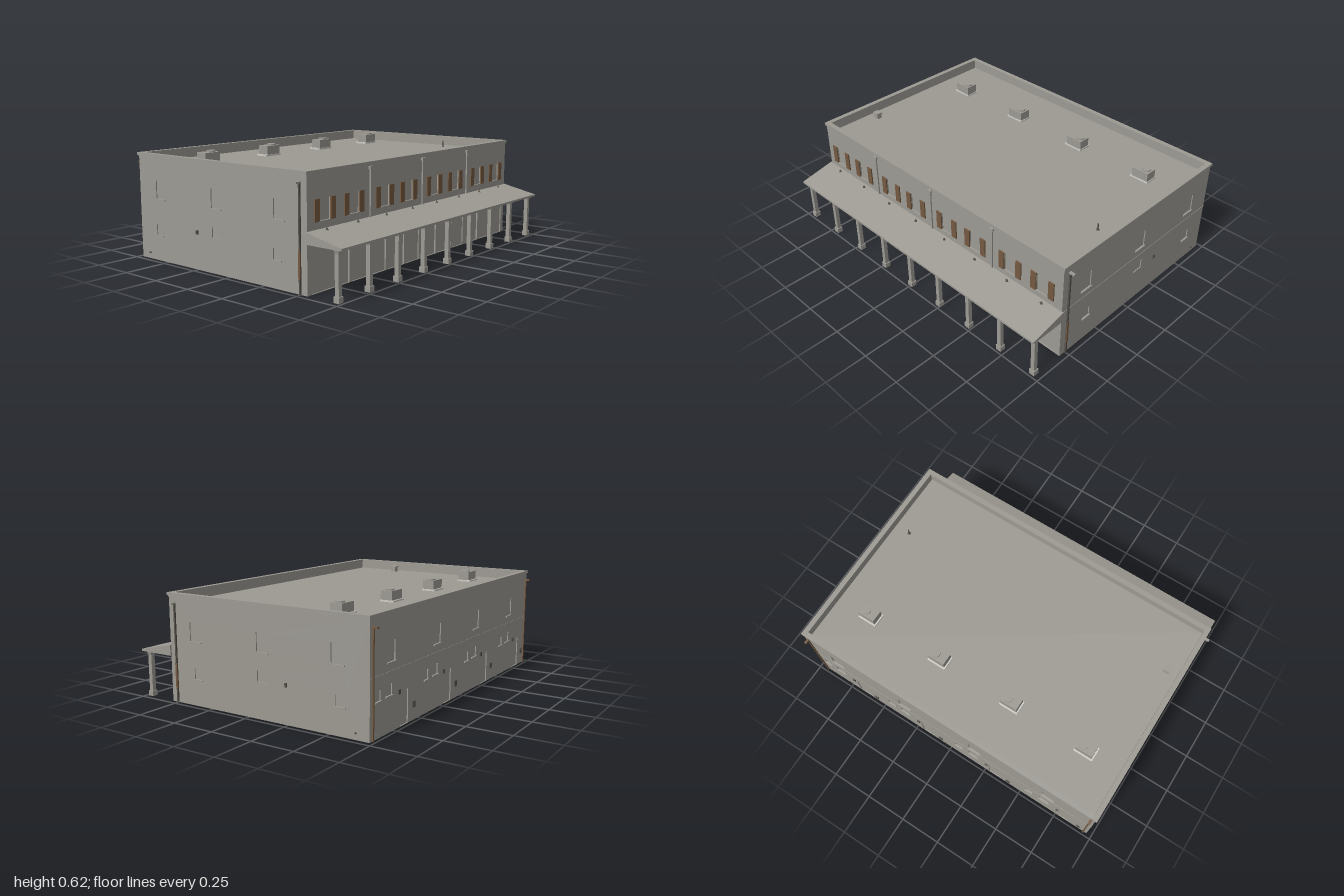
import * as THREE from 'three';

const mat = (name, color) => {
  const m = new THREE.MeshStandardMaterial({ color });
  m.name = name;
  return m;
};

export function createModel() {
  const model = new THREE.Group();
  model.name = 'commercialBuilding';
  const wallMat = mat('warmGrey', 0x9d9a93);
  const brown = mat('shutterBrown', 0x745a42);
  const dark = mat('darkMetal', 0x55504a);
  const pale = mat('paleCurb', 0xcfcdc6);

  const W = 0.968, ZF = 0.543, ZB = -0.73, H = 0.59, ROOF = 0.545;
  const CZ = (ZF + ZB) / 2, D = ZF - ZB;

  const add = (name, geo, m, x, y, z, parent = model) => {
    const mesh = new THREE.Mesh(geo, m);
    mesh.name = name;
    mesh.position.set(x, y, z);
    parent.add(mesh);
    return mesh;
  };
  const box = (name, m, w, h, d, x, y, z, parent = model) =>
    add(name, new THREE.BoxGeometry(w, h, d), m, x, y, z, parent);

  // Wall facing +z with its outer face at local z = 0; openings are [centre, bottom, width, height]
  const wall = (name, width, openings, sills = []) => {
    const g = new THREE.Group();
    g.name = name;
    const s = new THREE.Shape();
    s.moveTo(-width / 2, 0).lineTo(width / 2, 0).lineTo(width / 2, H).lineTo(-width / 2, H).closePath();
    for (const [c, b, w, h] of openings) {
      const p = new THREE.Path();
      p.moveTo(c - w / 2, b).lineTo(c - w / 2, b + h).lineTo(c + w / 2, b + h).lineTo(c + w / 2, b).closePath();
      s.holes.push(p);
      box('recessedPanel', wallMat, w + 0.006, h + 0.004, 0.004, c, b + h / 2, -0.008, g);
    }
    add('wallFace', new THREE.ExtrudeGeometry(s, { depth: 0.01, bevelEnabled: false }), wallMat, 0, 0, -0.01, g);
    for (const [c, b, w] of sills) box('windowSill', wallMat, w + 0.01, 0.006, 0.01, c, b, 0.002, g);
    model.add(g);
    return g;
  };

  // Front wall: eight shuttered windows over wide shopfront bays
  const windowXs = [-0.84, -0.615, -0.355, -0.135, 0.125, 0.35, 0.61, 0.835];
  const upper = windowXs.map(x => [x, 0.353, 0.08, 0.112]);
  const bays = [-0.72, -0.24, 0.24, 0.72].map(x => [x, 0.002, 0.43, 0.228]);
  const front = wall('frontWall', 2 * W, [...upper, ...bays], upper);
  front.position.z = ZF;
  for (const x of windowXs) for (const s of [-1, 1])
    box('shutter', brown, 0.037, 0.112, 0.008, x + s * 0.06, 0.409, 0.003, front);
  for (const x of [-0.64, -0.33, -0.16, 0.16, 0.33, 0.64])
    box('shopfrontPier', wallMat, 0.026, 0.228, 0.014, x, 0.116, -0.004, front);
  for (const x of [-0.48, 0, 0.48]) {
    box('frontDownspout', wallMat, 0.009, 0.27, 0.008, x, 0.445, 0.004, front);
    box('gutterOutlet', wallMat, 0.026, 0.016, 0.012, x, 0.573, 0.006, front);
  }

  // Side walls, mirrored; local x runs toward the back on the +x side
  for (const s of [1, -1]) {
    const at = z => -s * (z - CZ);
    const tall = [0.36, -0.095, -0.55].map(z => [at(z), 0.35, 0.075, 0.106]);
    const low = [[at(0.345), 0.145, 0.055, 0.06], [at(-0.095), 0.195, 0.07, 0.06], [at(-0.565), 0.145, 0.055, 0.06]];
    const side = wall('sideWall', D, [...tall, ...low], [...tall, low[0], low[2]]);
    side.position.set(s * W, 0, CZ);
    side.rotation.y = s * Math.PI / 2;
    box('floorBelt', wallMat, D, 0.004, 0.004, 0, 0.305, 0, side);
    box('sideMeter', dark, 0.011, 0.022, 0.01, at(-0.245), 0.207, 0.004, side);
    box('hoseTap', dark, 0.007, 0.007, 0.01, at(-0.655), 0.036, 0.004, side);
    box('sideDownspout', dark, 0.009, 0.55, 0.009, at(0.5), 0.275, 0.005, side);
    box('sideScupper', wallMat, 0.014, 0.01, 0.032, at(0.5), 0.549, 0.016, side);
    box('pipeGuard', brown, 0.012, 0.14, 0.006, at(0.5), 0.15, 0.008, side);
  }

  // Back wall: four repeating units with an upper window, two small windows and a door
  const holes = [], sills = [], unitXs = [0.775, 0.295, -0.19, -0.68];
  for (const x of unitXs) {
    const c = -x;
    const main = [c, 0.35, 0.075, 0.106];
    holes.push(main, [c - 0.12, 0.18, 0.045, 0.055], [c - 0.02, 0.185, 0.06, 0.06], [c + 0.13, 0.002, 0.08, 0.18]);
    sills.push(main, [c - 0.12, 0.18, 0.045], [c - 0.02, 0.185, 0.06]);
  }
  const back = wall('backWall', 2 * W, holes, sills);
  back.position.z = ZB;
  back.rotation.y = Math.PI;
  box('floorBelt', wallMat, 2 * W, 0.004, 0.004, 0, 0.305, 0, back);
  for (const x of unitXs) {
    box('wallLamp', dark, 0.018, 0.024, 0.008, -x + 0.075, 0.185, 0.003, back);
    box('utilityMeter', dark, 0.024, 0.032, 0.008, -x + 0.225, 0.085, 0.003, back);
  }
  for (const x of [-0.945, 0.945]) {
    box('backDownspout', brown, 0.009, 0.545, 0.008, x, 0.273, 0.004, back);
    box('backScupper', brown, 0.014, 0.01, 0.03, x, 0.547, 0.015, back);
  }

  // Roof deck and parapet lining with a projecting cap
  box('roofDeck', wallMat, 2 * W - 0.01, 0.008, D - 0.01, 0, ROOF - 0.004, CZ);
  const ring = (name, x, z0, z1, t, y, h) => {
    for (const s of [-1, 1]) box(name, wallMat, t, h, z1 - z0, s * (x - t / 2), y + h / 2, (z0 + z1) / 2);
    for (const z of [z0 + t / 2, z1 - t / 2]) box(name, wallMat, 2 * (x - t), h, t, 0, y + h / 2, z);
  };
  ring('parapetLining', W - 0.009, ZB + 0.009, ZF - 0.009, 0.012, ROOF, 0.045);
  ring('corniceMoulding', W + 0.004, ZB - 0.002, ZF + 0.003, 0.012, 0.582, 0.008);
  ring('parapetCap', W + 0.009, ZB - 0.005, ZF + 0.006, 0.03, 0.59, 0.015);

  // Sloped canopy over the shopfronts
  const profile = new THREE.Shape();
  profile.moveTo(-0.54, 0.256).lineTo(-0.54, 0.316).lineTo(-0.762, 0.268).lineTo(-0.762, 0.256).closePath();
  const canopy = add('canopy', new THREE.ExtrudeGeometry(profile, { depth: 1.956, bevelEnabled: false }),
    wallMat, -0.978, 0, 0);
  canopy.rotation.y = Math.PI / 2;
  for (const x of [-0.85, -0.607, -0.365, -0.122, 0.122, 0.365, 0.607, 0.85]) {
    const vent = add('canopyVent', new THREE.ConeGeometry(0.013, 0.016, 4), dark, x, 0.317, 0.565);
    vent.scale.z = 0.7;
  }

  // Canopy posts with wide bases and flared heads
  for (let i = 0; i < 9; i++) {
    const x = -0.95 + i * 0.2375;
    const post = new THREE.Group();
    post.name = 'canopyPost';
    post.position.set(x, 0, 0.72);
    model.add(post);
    box('postBase', wallMat, 0.034, 0.03, 0.034, 0, 0.015, 0, post);
    box('postShaft', wallMat, 0.024, 0.21, 0.024, 0, 0.135, 0, post);
    const head = add('postHead', new THREE.CylinderGeometry(0.025, 0.017, 0.022, 4), wallMat, 0, 0.246, 0, post);
    head.rotation.y = Math.PI / 4;
    head.geometry = head.geometry.toNonIndexed();
    head.geometry.computeVertexNormals();
  }

  // Rooftop air units
  for (const x of [-0.73, -0.245, 0.24, 0.725]) {
    const unit = new THREE.Group();
    unit.name = 'airUnit';
    unit.position.set(x, ROOF, -0.42);
    model.add(unit);
    box('unitCurb', pale, 0.118, 0.01, 0.084, 0, 0.005, 0, unit);
    box('unitBody', wallMat, 0.106, 0.052, 0.072, 0.003, 0.036, 0.003, unit);
    add('unitFan', new THREE.CylinderGeometry(0.026, 0.026, 0.008, 20), wallMat, 0.022, 0.066, 0.003, unit);
  }

  // Roof hatch and vent pipe
  box('roofHatch', wallMat, 0.036, 0.03, 0.032, -0.882, ROOF + 0.015, 0.215);
  box('hatchLid', wallMat, 0.044, 0.008, 0.04, -0.882, ROOF + 0.034, 0.215);
  add('ventPipe', new THREE.CylinderGeometry(0.004, 0.004, 0.04, 8), dark, 0.85, ROOF + 0.02, 0.14);
  add('ventFlashing', new THREE.CylinderGeometry(0.004, 0.01, 0.012, 8), dark, 0.85, ROOF + 0.006, 0.14);
  return model;
}
